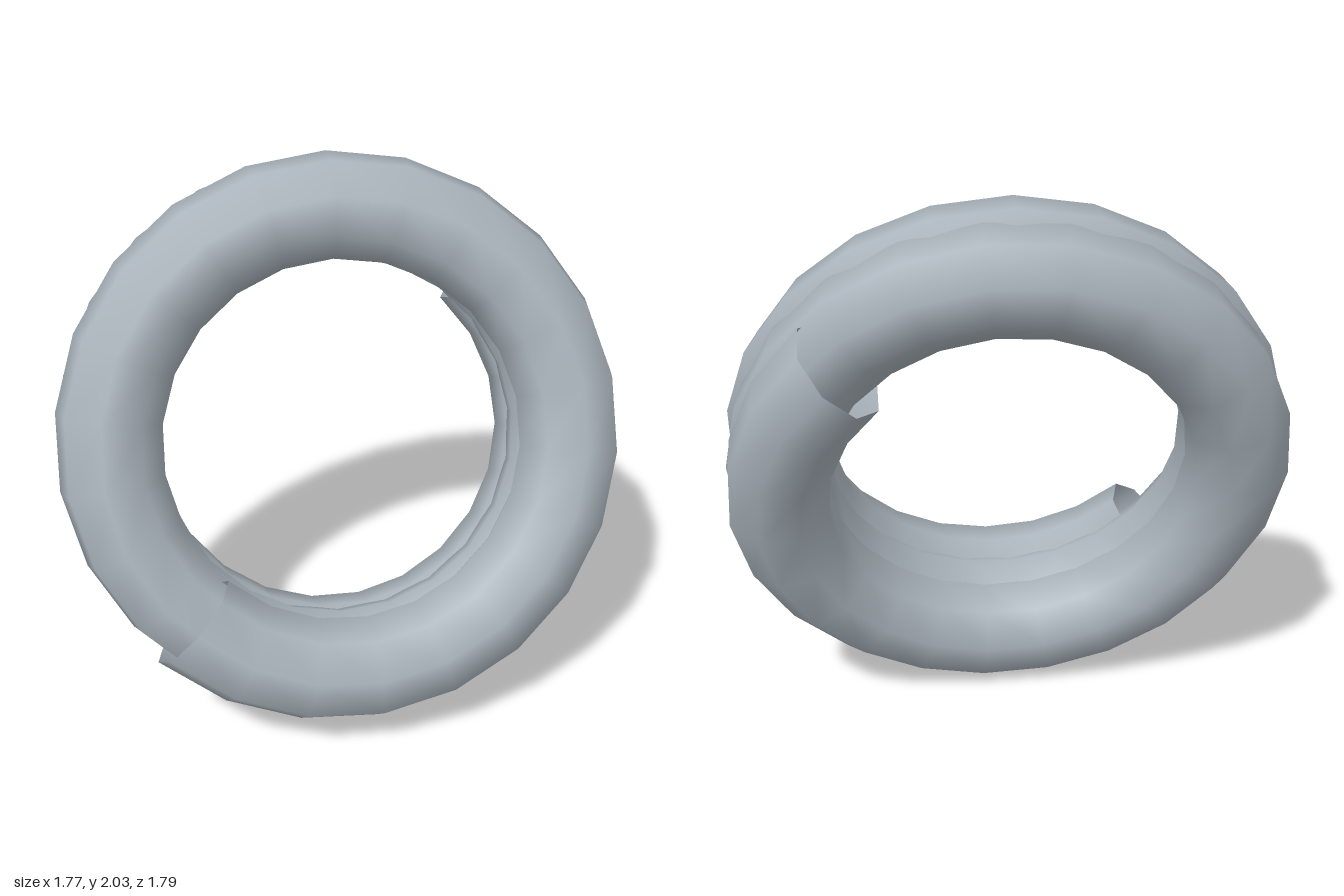
import * as THREE from 'three';

const TURNS = 2.5;
const COIL_RADIUS = 0.842;
const TUBE_RADIUS = 0.191;
const HALF_LENGTH = 0.186;

// Tight helix around the local z axis, running from +z to -z
class Helix extends THREE.Curve {
  getPoint(t, target = new THREE.Vector3()) {
    const a = t * TURNS * Math.PI * 2;
    return target.set(
      COIL_RADIUS * Math.cos(a),
      COIL_RADIUS * Math.sin(a),
      HALF_LENGTH * (1 - 2 * t)
    );
  }
}

export function createModel() {
  const group = new THREE.Group();
  group.name = 'coil';

  const steel = new THREE.MeshStandardMaterial({ color: 0xa9b3bb, side: THREE.DoubleSide });
  steel.name = 'steel grey';

  // Open-ended coiled tube whose turns overlap
  const geometry = new THREE.TubeGeometry(new Helix(), 56, TUBE_RADIUS, 8, false);

  // Tilt: local z is the coil axis, local x points to the front open end
  const axis = new THREE.Vector3(0.665, 0.34, 0.665).normalize();
  const start = new THREE.Vector3(-0.278, -0.552, 0.56);
  start.addScaledVector(axis, -start.dot(axis)).normalize();
  const side = new THREE.Vector3().crossVectors(axis, start);
  geometry.applyMatrix4(new THREE.Matrix4().makeBasis(start, side, axis));

  // Centre it and stand it on the ground
  geometry.center();
  geometry.computeBoundingBox();
  geometry.translate(0, -geometry.boundingBox.min.y, 0);

  const tube = new THREE.Mesh(geometry, steel);
  tube.name = 'coiledTube';
  group.add(tube);
  return group;
}
